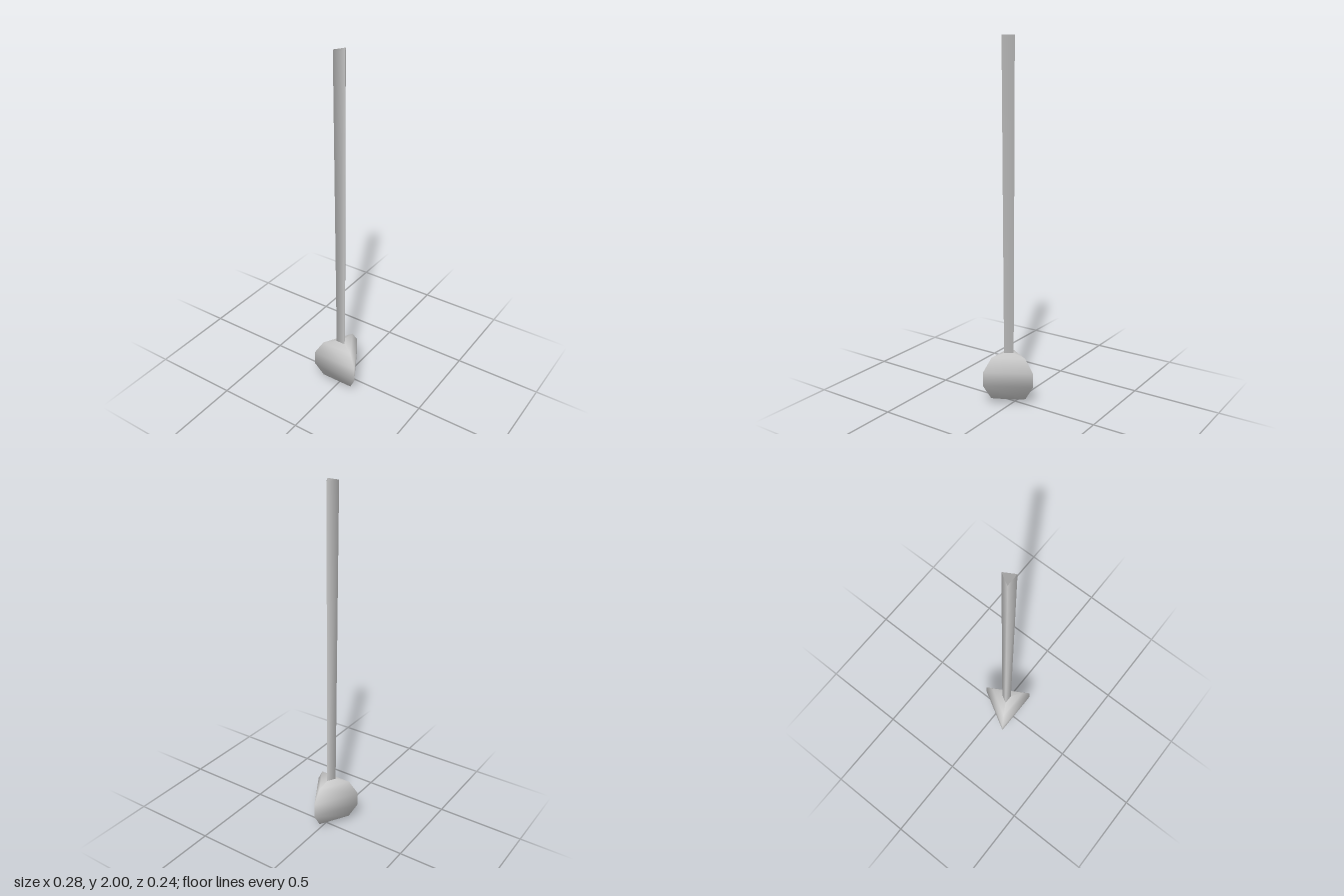
import * as THREE from 'three';

const AXIS_Z = 0.04; // both parts share an axis slightly in front of centre

export function createModel() {
  const group = new THREE.Group();
  const material = new THREE.MeshStandardMaterial({ color: 0xcccccc, side: THREE.DoubleSide });

  // Three-sided rounded bulb, corner pointing back
  const profile = [[0, 0], [0.11, 0.03], [0.16, 0.113], [0.16, 0.193], [0.108, 0.27], [0, 0.292]]
    .map(([r, y]) => new THREE.Vector2(r, y));
  const bulb = new THREE.Mesh(new THREE.LatheGeometry(profile, 3, Math.PI), material);
  bulb.name = 'bulb';

  // Hollow three-sided stem, open at the top and widening upwards
  const bottom = 0.28, top = 2;
  const stem = new THREE.Mesh(
    new THREE.CylinderGeometry(0.039, 0.031, top - bottom, 3, 1, true, Math.PI), material);
  stem.name = 'stem';
  stem.position.y = (top + bottom) / 2;

  for (const part of [bulb, stem]) {
    part.position.z = AXIS_Z;
    group.add(part);
  }
  return group;
}
